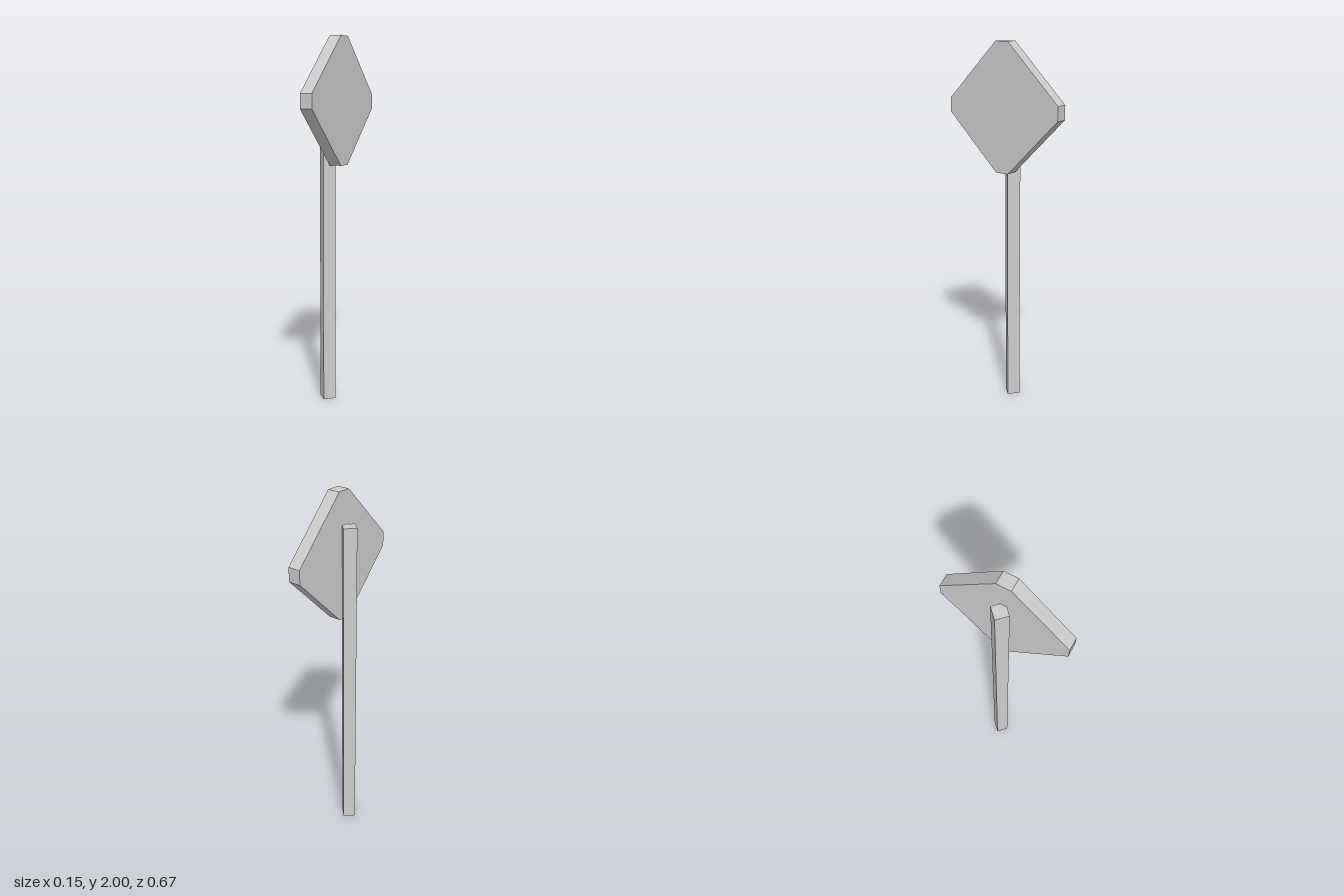
import * as THREE from 'three';

export function createModel() {
  const group = new THREE.Group();
  const material = new THREE.MeshStandardMaterial({ color: 0xcccccc, flatShading: true });

  // Square post, turned so one corner points forward
  const postHeight = 1.83, postRadius = 0.0485;
  const post = new THREE.Mesh(
    new THREE.CylinderGeometry(postRadius, postRadius, postHeight, 4), material);
  post.name = 'post';
  post.position.set(-0.0265, postHeight / 2, 0);
  group.add(post);

  // Diamond sign panel with clipped corners, facing +x
  const half = 0.336, clip = 0.037;
  const outline = new THREE.Shape([
    [half, -clip], [half, clip], [clip, half], [-clip, half],
    [-half, clip], [-half, -clip], [-clip, -half], [clip, -half],
  ].map(([x, y]) => new THREE.Vector2(x, y)));
  const panel = new THREE.Mesh(
    new THREE.ExtrudeGeometry(outline, { depth: 0.068, bevelEnabled: false }), material);
  panel.name = 'signPanel';
  panel.rotation.y = Math.PI / 2;
  panel.position.set(0.006, 2 - half, 0);
  group.add(panel);

  return group;
}
